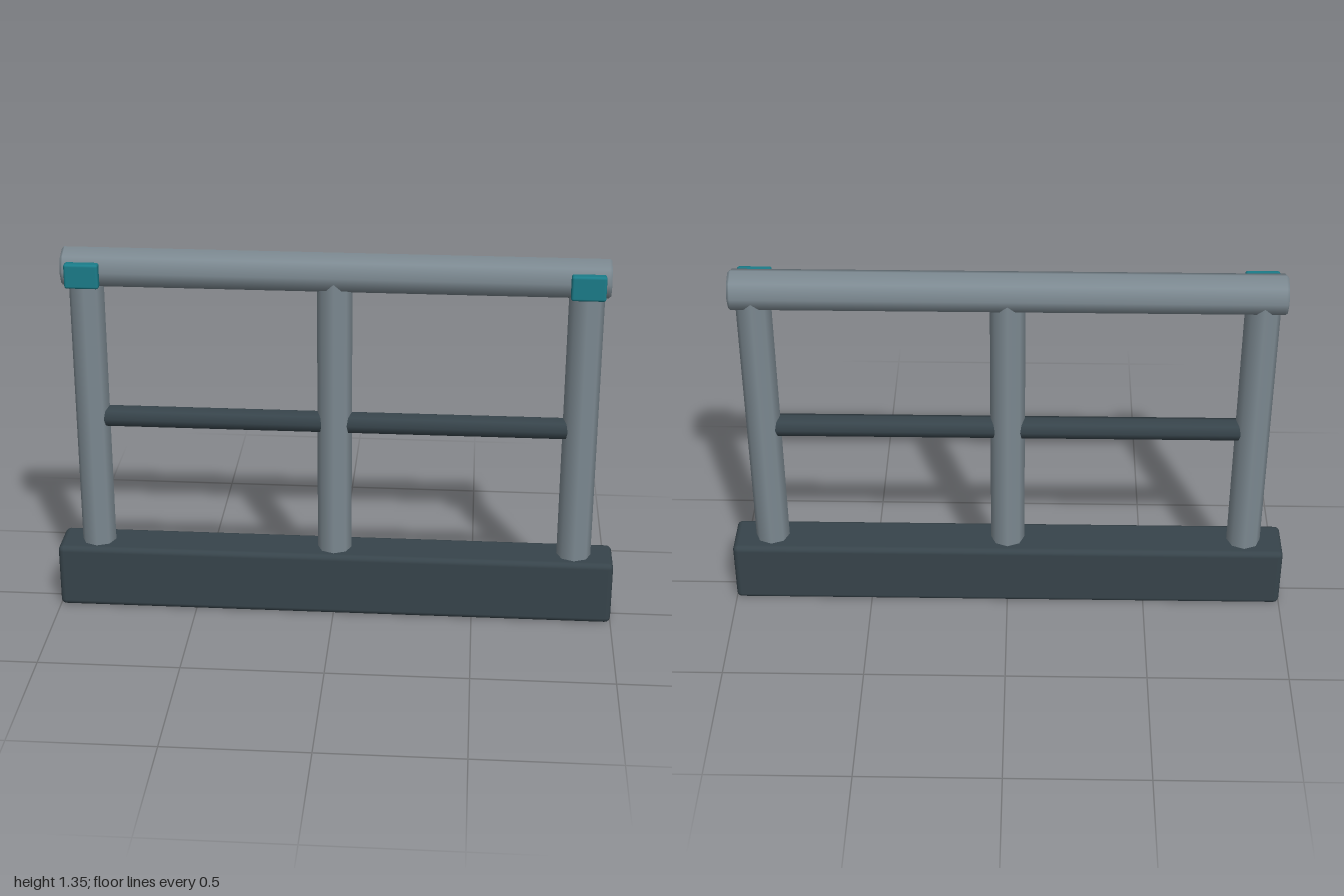
import * as THREE from 'three';
import { RoundedBoxGeometry } from 'three/addons/geometries/RoundedBoxGeometry.js';

const steel = new THREE.MeshStandardMaterial({ color: 0x7d8a92 });
const dark = new THREE.MeshStandardMaterial({ color: 0x37444b });
const teal = new THREE.MeshStandardMaterial({ color: 0x1b7c89 });

const Z = -0.003; // common depth of the tubes

// Eight-sided tube along y with slightly chamfered ends
function tube(radius, length, bevel = 0.007) {
  const h = length / 2, s = 0.002;
  const half = [[0, h], [radius - bevel - s, h], [radius - bevel, h], [radius, h - bevel], [radius, h - bevel - s]];
  const profile = [...half.map(([r, y]) => [r, -y]), ...half.reverse()];
  return new THREE.LatheGeometry(profile.map(([r, y]) => new THREE.Vector2(r, y)), 8);
}

export function createModel() {
  const model = new THREE.Group();
  model.name = 'barrier';

  function add(name, geometry, material, x, y, z) {
    const mesh = new THREE.Mesh(geometry, material);
    mesh.name = name;
    mesh.position.set(x, y, z);
    model.add(mesh);
    return mesh;
  }

  // Heavy base beam
  add('base', new RoundedBoxGeometry(2, 0.236, 0.174, 2, 0.02), dark, 0, 0.118, -0.0055);

  // Three upright posts, running from inside the base into the top rail
  for (const [name, x] of [['rightPost', -0.86], ['middlePost', 0], ['leftPost', 0.86]]) {
    add(name, tube(0.061, 1.07), steel, x, 0.745, Z);
  }

  // Thick top rail
  add('topRail', tube(0.071, 1.876), steel, 0, 1.281, Z).rotation.z = Math.PI / 2;

  // Thin middle rails and front marker plates, mirrored
  for (const [side, s] of [['right', -1], ['left', 1]]) {
    add(side + 'MiddleRail', tube(0.04, 0.8), dark, s * 0.43, 0.725, Z).rotation.z = Math.PI / 2;
    add(side + 'Marker', new RoundedBoxGeometry(0.118, 0.088, 0.036, 2, 0.009), teal, s * 0.86, 1.274, 0.0745);
  }

  return model;
}
